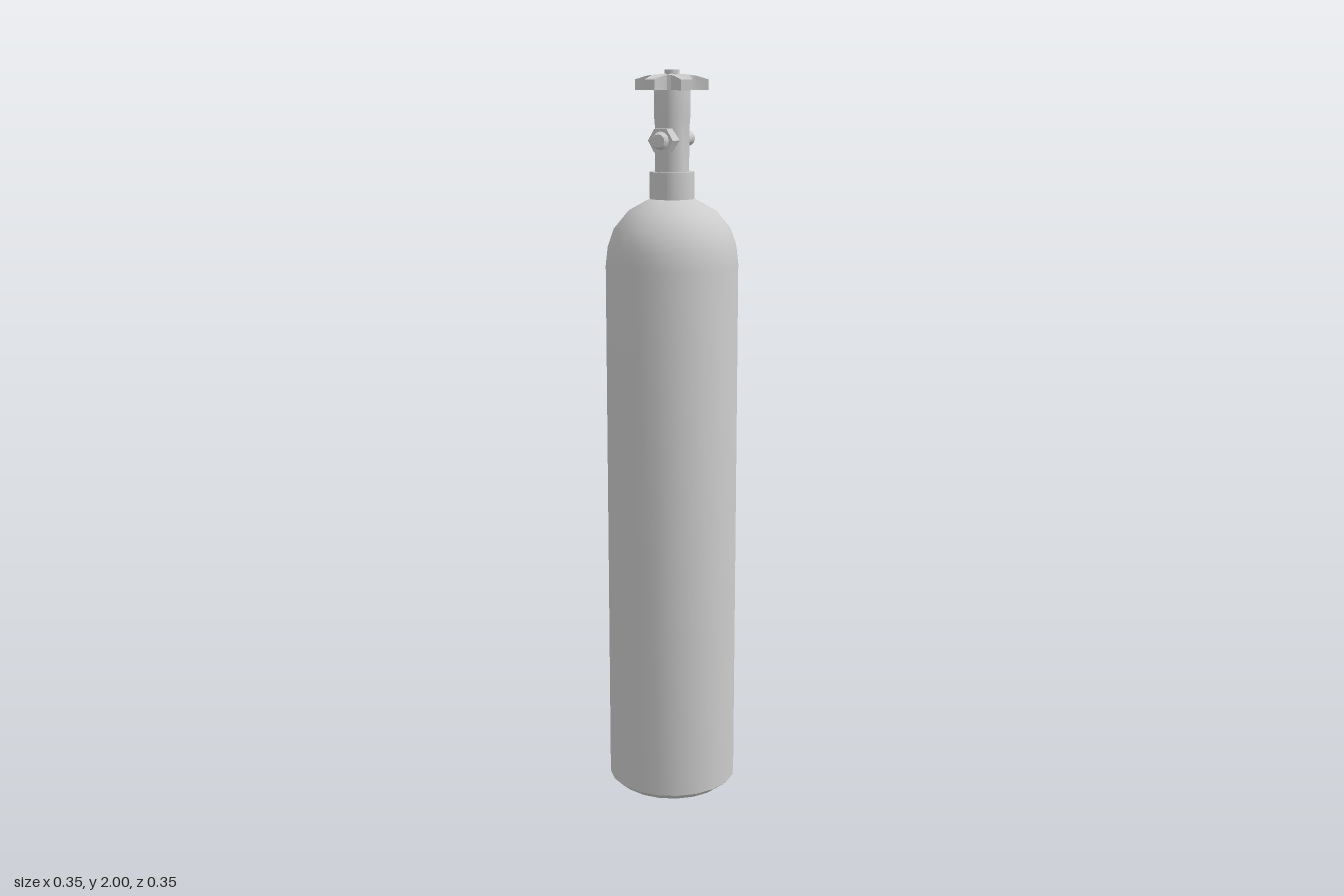
import * as THREE from 'three';
import { toCreasedNormals } from 'three/addons/utils/BufferGeometryUtils.js';

const material = new THREE.MeshStandardMaterial({ color: 0xcccccc });

function part(name, geometry, crease = 0.6) {
  const mesh = new THREE.Mesh(toCreasedNormals(geometry, crease), material);
  mesh.name = name;
  return mesh;
}

// Profile of [radius, height] pairs, turned with flats facing the axes
function turned(profile, sides) {
  const points = profile.map(([r, y]) => new THREE.Vector2(r, y));
  return new THREE.LatheGeometry(points, sides, Math.PI / sides);
}

// Six-lobed wheel: domed fan on top, straight rim, flat fan beneath
function wheelGeometry() {
  const lobe = [[-9.5, 0.097], [9.5, 0.097], [18, 0.069], [25, 0.062], [35, 0.062], [42, 0.069]];
  const outline = [];
  for (let i = 0; i < 6; i++) {
    for (const [deg, r] of lobe) {
      const a = THREE.MathUtils.degToRad(15 + i * 60 + deg);
      outline.push([r * Math.cos(a), -r * Math.sin(a), r]);
    }
  }
  const n = outline.length;
  const positions = [0, 1.991, 0, 0, 1.948, 0];
  for (const [x, z, r] of outline) {
    positions.push(x, 1.993 - 1.9 * r * r, z, x, 1.948, z);
  }
  const index = [];
  for (let i = 0; i < n; i++) {
    const t = 2 + i * 2, b = t + 1;
    const t2 = 2 + ((i + 1) % n) * 2, b2 = t2 + 1;
    index.push(0, t, t2, 1, b2, b, t, b, b2, t, b2, t2);
  }
  const geometry = new THREE.BufferGeometry();
  geometry.setAttribute('position', new THREE.Float32BufferAttribute(positions, 3));
  geometry.setIndex(index);
  return geometry;
}

export function createModel() {
  const model = new THREE.Group();
  model.name = 'gasCylinder';

  // Tank with bevelled foot and rounded shoulder
  model.add(part('tank', turned([
    [0, 0], [0.155, 0], [0.179, 0.02], [0.179, 1.49], [0.173, 1.54],
    [0.157, 1.587], [0.118, 1.634], [0.06, 1.666], [0, 1.67],
  ], 20)));

  // Neck collar
  model.add(part('neckCollar', turned([[0.06, 1.65], [0.06, 1.737], [0, 1.737]], 20)));

  // Valve stem, its lower half flattened on the left and right
  const stem = turned([
    [0.047, 1.72], [0.047, 1.85], [0.048, 1.88], [0.048, 1.95], [0, 1.95],
  ], 20);
  const pos = stem.attributes.position;
  for (let i = 0; i < pos.count; i++) {
    if (pos.getY(i) < 1.86) pos.setX(i, THREE.MathUtils.clamp(pos.getX(i), -0.04, 0.04));
  }
  model.add(part('valveStem', stem));

  // Front safety plug: hexagonal nut with a smaller tip
  const plug = new THREE.Group();
  plug.name = 'safetyPlug';
  const nut = new THREE.CylinderGeometry(0.035, 0.035, 0.05, 6);
  nut.rotateY(Math.PI / 6).rotateX(Math.PI / 2).translate(0, 0, 0.056);
  const tip = new THREE.CylinderGeometry(0.017, 0.024, 0.014, 12);
  tip.rotateX(Math.PI / 2).translate(0, 0, 0.088);
  plug.add(part('plugNut', nut), part('plugTip', tip));
  plug.position.y = 1.82;
  model.add(plug);

  // Rear outlet tube with a recessed bore
  const outlet = turned([[0.021, 0.02], [0.021, 0.11], [0.013, 0.11], [0.013, 0.085], [0, 0.085]], 16);
  outlet.rotateX(-Math.PI / 2).translate(0, 1.82, 0);
  model.add(part('outletTube', outlet));

  // Handwheel and its centre button
  model.add(part('handwheel', wheelGeometry(), 0.5));
  model.add(part('wheelButton', turned([[0.02, 1.97], [0.02, 2], [0, 2]], 16)));

  return model;
}
